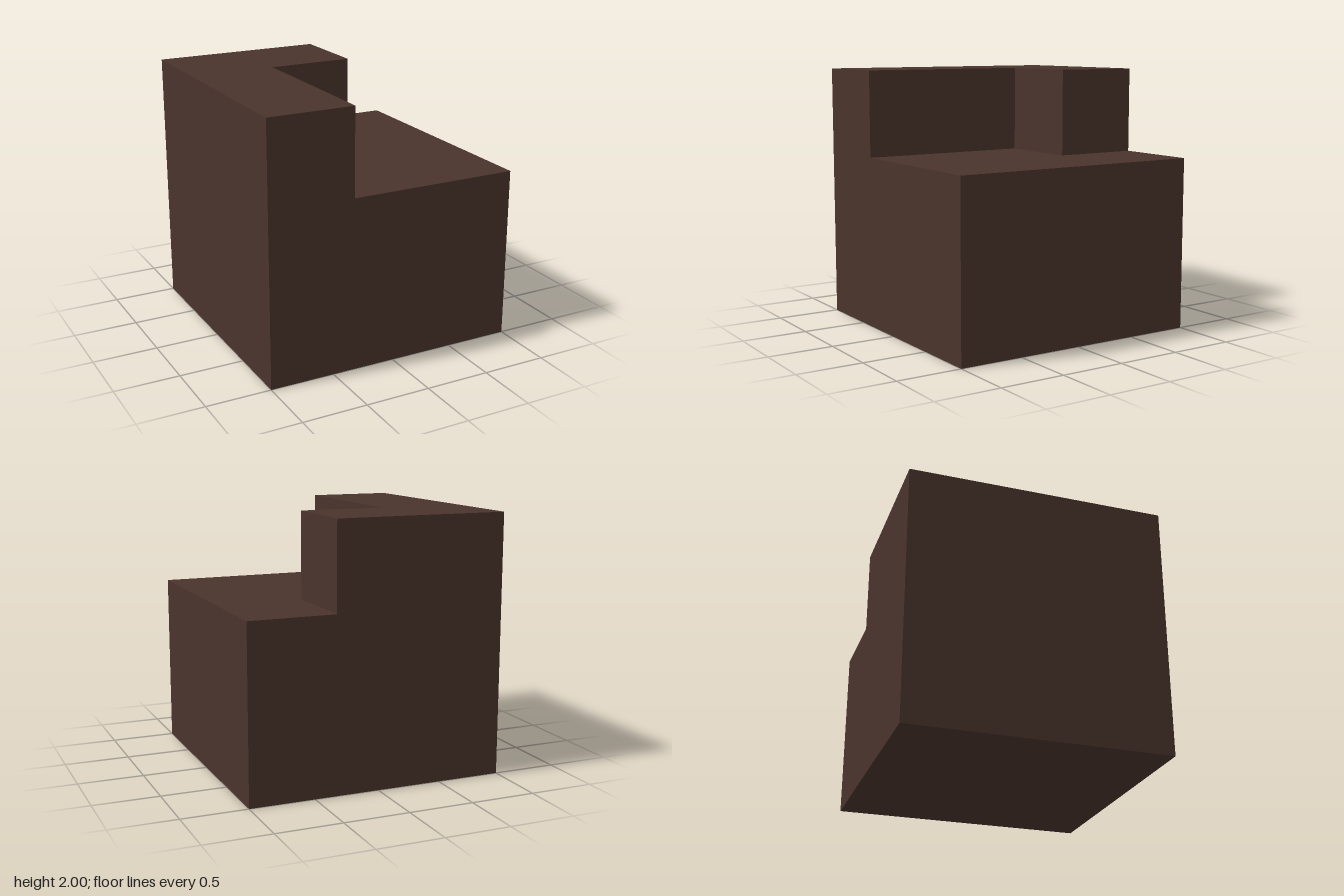
import * as THREE from 'three';

const A = 1 / 3;  // step positions on the three-cell grid
const H = 4 / 3;  // ledge height

// Flat face from counter-clockwise corners, fanned from the first (the inner corner of an L).
function face(corners) {
  const positions = [];
  for (let i = 1; i < corners.length - 1; i++) {
    positions.push(...corners[0], ...corners[i], ...corners[i + 1]);
  }
  const geometry = new THREE.BufferGeometry();
  geometry.setAttribute('position', new THREE.Float32BufferAttribute(positions, 3));
  geometry.computeVertexNormals();
  return geometry;
}

const atZ = (z, points) => points.map(([x, y]) => [x, y, z]);
const atY = (y, points) => points.map(([x, z]) => [x, y, z]);
const wall = ([x0, z0], [x1, z1], low, high) =>
  [[x0, low, z0], [x1, low, z1], [x1, high, z1], [x0, high, z0]];

export function createModel() {
  const group = new THREE.Group();
  group.name = 'steppedBlock';
  const brown = new THREE.MeshStandardMaterial({ color: 0x4a342c });
  brown.name = 'dark brown';

  const add = (name, corners) => {
    const mesh = new THREE.Mesh(face(corners), brown);
    mesh.name = name;
    group.add(mesh);
  };

  // Outer sides
  add('frontSide', atZ(1, [[-A, H], [-A, 2], [-1, 2], [-1, 0], [1, 0], [1, H]]));
  add('backSide', atZ(-1, [[A, H], [1, H], [1, 0], [-1, 0], [-1, 2], [A, 2]]));
  add('tallSide', wall([-1, -1], [-1, 1], 0, 2));
  add('lowSide', wall([1, 1], [1, -1], 0, H));
  add('underside', atY(0, [[-1, -1], [1, -1], [1, 1], [-1, 1]]));

  // L-shaped raised top and the ledge below it
  add('raisedTop', atY(2, [[-A, -A], [A, -A], [A, -1], [-1, -1], [-1, 1], [-A, 1]]));
  add('ledge', atY(H, [[A, -A], [-A, -A], [-A, 1], [1, 1], [1, -1], [A, -1]]));

  // Risers between ledge and raised top
  const path = [[-A, 1], [-A, -A], [A, -A], [A, -1]];
  for (let i = 0; i < 3; i++) add(`riser${i + 1}`, wall(path[i], path[i + 1], H, 2));

  return group;
}
